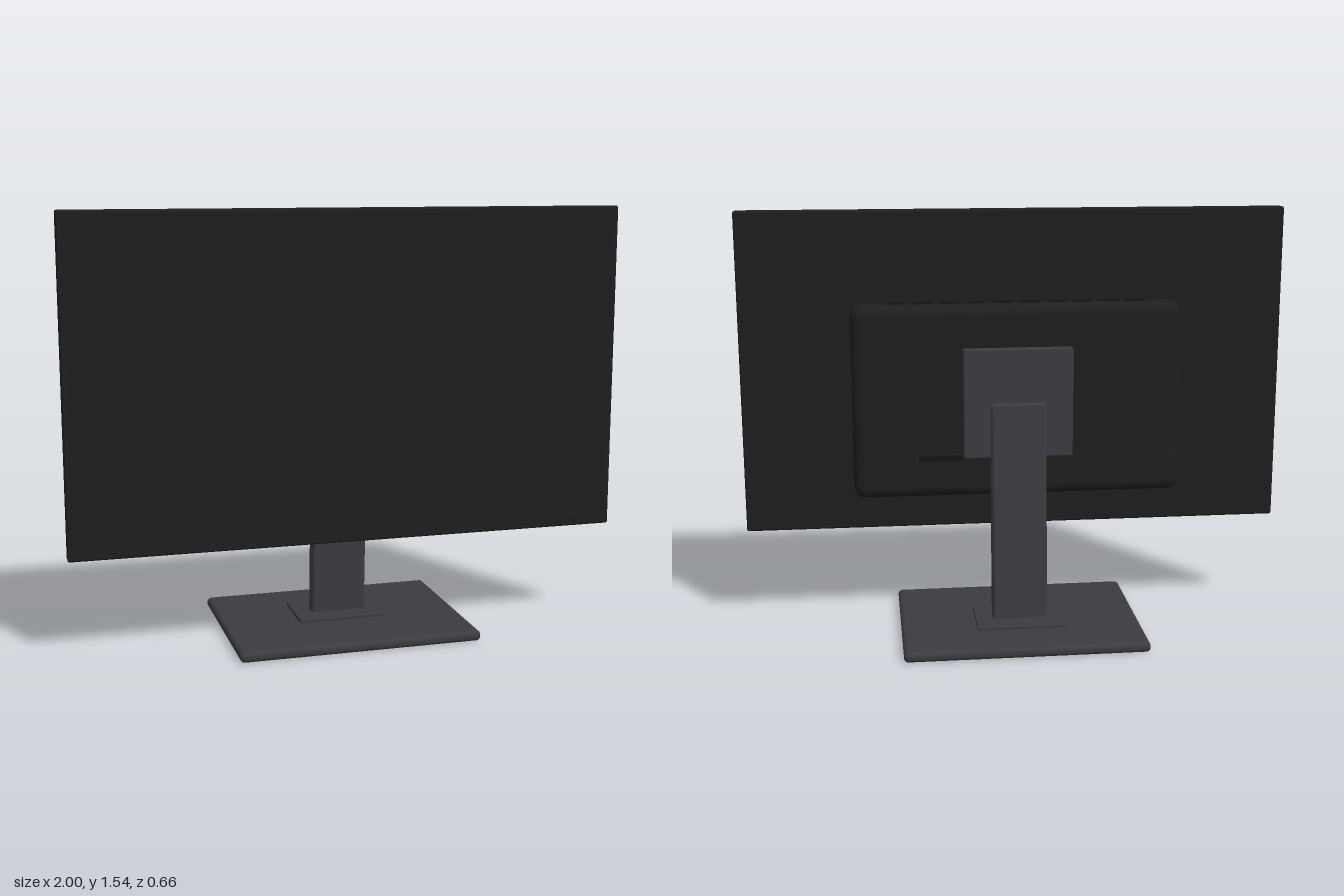
import * as THREE from 'three';
import { RoundedBoxGeometry } from 'three/addons/geometries/RoundedBoxGeometry.js';

export function createModel() {
  const model = new THREE.Group();
  model.name = 'monitor';

  const material = (name, color) => {
    const m = new THREE.MeshStandardMaterial({ color });
    m.name = name;
    return m;
  };
  const casing = material('black casing', 0x1e1e1e);
  const glass = material('dark screen', 0x1d1d1d);
  const stand = material('graphite stand', 0x3c3b40);
  const slotBlack = material('slot black', 0x141414);

  // Box given by its x, y and z ranges; a radius rounds its edges
  function box(name, mat, [x0, x1], [y0, y1], [z0, z1], radius = 0, parent = model) {
    const w = x1 - x0, h = y1 - y0, d = z1 - z0;
    const geometry = radius
      ? new RoundedBoxGeometry(w, h, d, 4, radius)
      : new THREE.BoxGeometry(w, h, d);
    const mesh = new THREE.Mesh(geometry, mat);
    mesh.name = name;
    mesh.position.set((x0 + x1) / 2, (y0 + y1) / 2, (z0 + z1) / 2);
    parent.add(mesh);
    return mesh;
  }

  // Display panel with its screen and power light
  box('panel', casing, [-1, 1], [0.36, 1.54], [0.124, 0.177], 0.008);
  box('screen', glass, [-0.983, 0.983], [0.415, 1.523], [0.175, 0.178]);
  const light = new THREE.Mesh(new THREE.CylinderGeometry(0.005, 0.005, 0.006, 16), slotBlack);
  light.name = 'powerLight';
  light.rotation.x = Math.PI / 2;
  light.position.set(0.85, 0.385, 0.178);
  model.add(light);

  // Rear housing with a row of top vents and a port slot
  box('rearHousing', casing, [-0.6, 0.6], [0.5, 1.21], [0.011, 0.128], 0.042);
  const vents = new THREE.Group();
  vents.name = 'vents';
  model.add(vents);
  for (let i = 0; i < 10; i++) {
    const x = (i - 4.5) * 0.0965;
    box('vent', slotBlack, [x - 0.035, x + 0.035], [1.2, 1.216], [0.058, 0.076], 0, vents);
  }
  box('portSlot', slotBlack, [0.2, 0.36], [0.64, 0.66], [0.008, 0.014]);

  // Stand: mount plate, leaning neck, collar and base
  box('mountPlate', stand, [-0.2, 0.2], [0.65, 1.055], [-0.012, 0.016], 0.008);
  const neck = box('neck', stand, [-0.102, 0.102], [0.035, 0.855], [-0.041, 0.015], 0.014);
  neck.rotation.x = 0.051;
  box('collar', stand, [-0.165, 0.165], [0.03, 0.049], [-0.147, 0.073], 0.004);
  box('base', stand, [-0.44, 0.44], [0, 0.037], [-0.331, 0.331], 0.016);

  return model;
}
